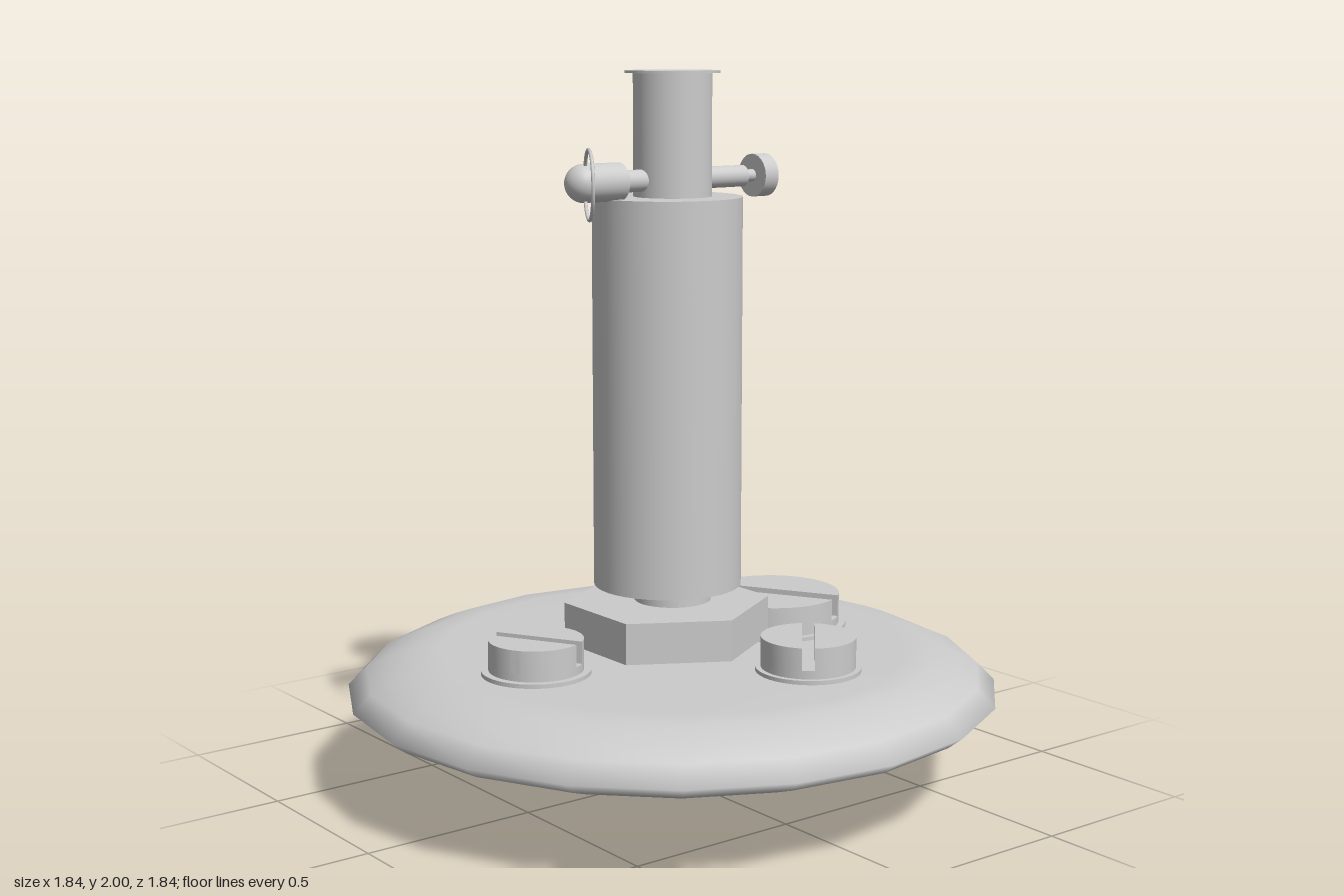
import * as THREE from 'three';
import { toCreasedNormals } from 'three/addons/utils/BufferGeometryUtils.js';

const grey = new THREE.MeshStandardMaterial({ color: 0xcccccc });

export function createModel() {
  const model = new THREE.Group();

  function add(name, geometry, x = 0, y = 0, z = 0, parent = model) {
    const mesh = new THREE.Mesh(geometry, grey);
    mesh.name = name;
    mesh.position.set(x, y, z);
    parent.add(mesh);
    return mesh;
  }

  // Upright cylinder between two heights
  const post = (name, r, y0, y1, z = 0, parent = model) =>
    add(name, new THREE.CylinderGeometry(r, r, y1 - y0, 40), 0, (y0 + y1) / 2, z, parent);

  // Cushion-shaped twenty-sided disc
  const profile = [
    [0, 0.135], [0.3, 0.14], [0.6, 0.168], [0.78, 0.21], [0.88, 0.248], [0.92, 0.28],
    [0.87, 0.33], [0.81, 0.357], [0.74, 0.384], [0.66, 0.39], [0, 0.393],
  ].map(([r, y]) => new THREE.Vector2(r, y));
  add('disc', new THREE.LatheGeometry(profile, 20));

  // Central shaft, sleeve and thin cap
  post('shaft', 0.108, 0, 2);
  post('sleeve', 0.207, 0.575, 1.66, 0.018);
  post('cap', 0.13, 1.993, 2);

  // Hexagonal nut, corners pointing left and right
  const nut = new THREE.CylinderGeometry(0.29, 0.29, 0.115, 6).toNonIndexed();
  nut.rotateY(Math.PI / 6);
  nut.computeVertexNormals();
  add('nut', nut, 0, 0.4675, 0.02);

  // Slotted screw heads, each on a thin washer
  function screw(name, x, z, r, washerR, slot, angle) {
    const group = new THREE.Group();
    group.name = name;
    group.position.set(x, 0, z);
    group.rotation.y = THREE.MathUtils.degToRad(angle);
    model.add(group);
    post('washer', washerR, 0.385, 0.402, 0, group);
    post('screwBase', r, 0.4, 0.425, 0, group);
    const a = Math.asin(slot / 2 / r);
    for (const half of [0, Math.PI]) {
      const shape = new THREE.Shape();
      shape.absarc(0, 0, r, half + a, half + Math.PI - a);
      const geo = new THREE.ExtrudeGeometry(shape, { depth: 0.063, bevelEnabled: false, curveSegments: 20 });
      geo.rotateX(-Math.PI / 2);
      add('screwHalf', toCreasedNormals(geo, 0.6), 0, 0.424, 0, group);
    }
  }
  screw('largeScrew', 0, -0.37, 0.195, 0.215, 0.055, 30);
  screw('rightScrew', -0.425, -0.365, 0.13, 0.145, 0.035, 0);
  screw('leftScrew', 0.43, -0.135, 0.13, 0.145, 0.035, -41);
  screw('frontScrew', 0, 0.467, 0.13, 0.15, 0.035, 30);

  // Cross pin through the top of the shaft
  const pin = new THREE.Group();
  pin.name = 'crossPin';
  pin.position.y = 1.706;
  model.add(pin);
  function pinPart(name, r, z0, z1) {
    const geo = new THREE.CylinderGeometry(r, r, z1 - z0, 28);
    geo.rotateX(Math.PI / 2);
    add(name, geo, 0, 0, (z0 + z1) / 2, pin);
  }
  pinPart('pinRod', 0.03, -0.247, 0.19);
  pinPart('pinNeck', 0.017, -0.29, -0.24);
  pinPart('pinKnob', 0.06, -0.33, -0.283);
  pinPart('pinTip', 0.018, -0.35, -0.32);
  pinPart('pinHandle', 0.052, 0.182, 0.298);
  const dome = new THREE.SphereGeometry(0.052, 28, 10, 0, Math.PI * 2, 0, Math.PI / 2);
  dome.rotateX(Math.PI / 2);
  add('handleDome', dome, 0, 0, 0.298, pin);

  // Pull ring threaded through the handle
  const ring = add('pullRing', new THREE.TorusGeometry(0.092, 0.005, 8, 48), 0.086, 0.002, 0.342, pin);
  ring.rotation.y = -0.5;

  return model;
}
